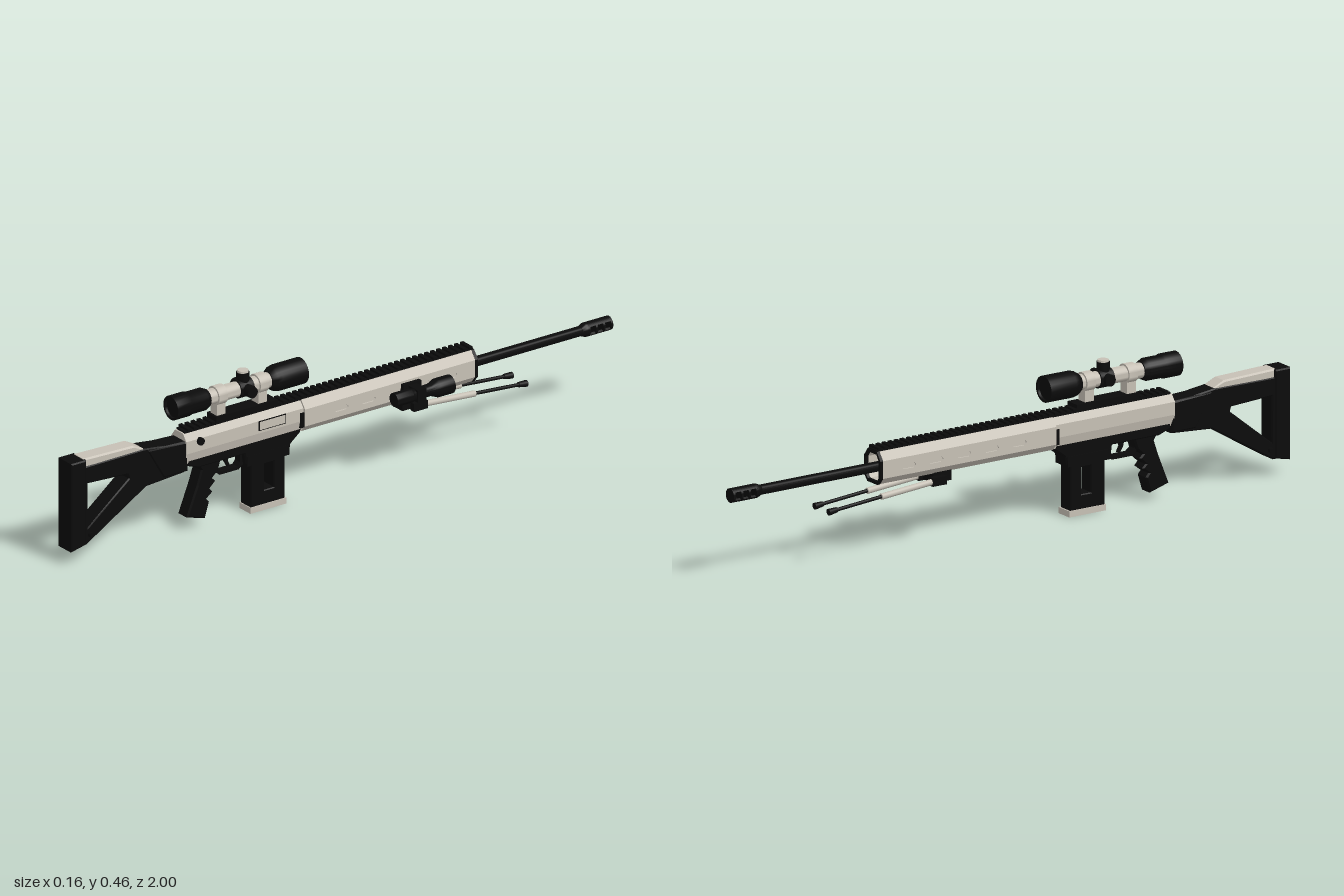
import * as THREE from 'three';
import { toCreasedNormals } from 'three/addons/utils/BufferGeometryUtils.js';

export function createModel() {
  const root = new THREE.Group();
  const CX = -0.032; // centre plane of the body
  const mat = (name, color) => Object.assign(new THREE.MeshStandardMaterial({ color }), { name });
  const black = mat('matte black', 0x0b0b0b);
  const beige = mat('warm grey', 0xc6c0b5);

  const add = (name, geo, material) => {
    const m = new THREE.Mesh(geo, material);
    m.name = name;
    root.add(m);
    return m;
  };
  // outlines run clockwise and holes counter-clockwise
  const outline = (pts, sign, clockwise) => {
    const v = pts.map(([a, b]) => new THREE.Vector2(sign * a, b));
    return THREE.ShapeUtils.isClockWise(v) === clockwise ? v : v.reverse();
  };
  const toShape = (pts, sign, holes) => {
    const s = new THREE.Shape(outline(pts, sign, true));
    s.holes = holes.map(h => new THREE.Path(outline(h, sign, false)));
    return s;
  };
  // side profile in (z, y), extruded across x
  const side = (name, pts, w, material, holes = [], x = CX, bevel = 0) => {
    const g = new THREE.ExtrudeGeometry(toShape(pts, -1, holes), {
      depth: w - 2 * bevel, bevelEnabled: bevel > 0, bevelSize: bevel, bevelOffset: -bevel,
      bevelThickness: bevel, bevelSegments: 1,
    });
    g.translate(0, 0, -w / 2 + bevel).rotateY(Math.PI / 2).translate(x, 0, 0);
    return add(name, g, material);
  };
  // cross-section in (x, y), extruded along z
  const prism = (name, pts, z0, z1, material, holes = []) => {
    const g = new THREE.ExtrudeGeometry(toShape(pts, 1, holes), { depth: z1 - z0, bevelEnabled: false });
    return add(name, g.translate(CX, 0, z0), material);
  };
  // box from extents
  const box = (name, x0, x1, y0, y1, z0, z1, material) =>
    add(name, new THREE.BoxGeometry(x1 - x0, y1 - y0, z1 - z0)
      .translate((x0 + x1) / 2, (y0 + y1) / 2, (z0 + z1) / 2), material);
  // turned part along z from (radius, z) points, z rising
  const turned = (name, pts, x, y, material, seg = 24) => {
    const g = new THREE.LatheGeometry(pts.map(p => new THREE.Vector2(...p)), seg);
    return add(name, toCreasedNormals(g.rotateX(Math.PI / 2), 0.6).translate(x, y, 0), material);
  };
  const rod = (name, a, b, r0, r1, material, seg = 14) => {
    const A = new THREE.Vector3(...a), B = new THREE.Vector3(...b), d = B.clone().sub(A);
    const m = add(name, new THREE.CylinderGeometry(r1, r0, d.length(), seg), material);
    m.position.copy(A).addScaledVector(d, 0.5);
    m.quaternion.setFromUnitVectors(new THREE.Vector3(0, 1, 0), d.normalize());
    return m;
  };

  // Shoulder stock with triangular opening
  side('stockFrame', [[0.96, 0.31], [0.73, 0.312], [0.58, 0.293], [0.58, 0.198], [0.72, 0.188], [0.94, 0.055], [0.96, 0.055]],
    0.06, black, [[[0.936, 0.253], [0.79, 0.245], [0.785, 0.23], [0.936, 0.108]]], CX, 0.004);
  side('stockNeck', [[0.72, 0.305], [0.57, 0.298], [0.57, 0.2], [0.66, 0.2]], 0.068, black, [], CX, 0.006);
  side('buttPad', [[1, 0.333], [0.945, 0.333], [0.945, 0.058], [1, 0.046]], 0.07, black, [], CX, 0.004);
  side('cheekRest', [[0.95, 0.335], [0.765, 0.33], [0.715, 0.305], [0.95, 0.305]], 0.054, beige, [], CX, 0.005);
  rod('stockPin', [CX - 0.041, 0.087, 0.928], [CX + 0.041, 0.087, 0.928], 0.008, 0.008, black);

  // Receiver
  prism('upperReceiver', [[-0.02, 0.32], [0.02, 0.32], [0.037, 0.298], [0.037, 0.258], [0.028, 0.222],
    [-0.028, 0.222], [-0.037, 0.258], [-0.037, 0.298]], 0.15, 0.58, beige);
  side('lowerReceiver', [[0.57, 0.236], [0.15, 0.236], [0.155, 0.218], [0.19, 0.19], [0.195, 0.165],
    [0.355, 0.165], [0.36, 0.2], [0.53, 0.2], [0.57, 0.215]], 0.06, black, [], CX, 0.004);
  box('receiverJoint', CX - 0.039, CX + 0.039, 0.236, 0.285, 0.148, 0.162, black);
  box('ejectionPortFrame', 0.004, 0.0075, 0.267, 0.298, 0.216, 0.314, black);
  box('ejectionPortCover', 0.004, 0.0085, 0.2695, 0.2955, 0.2185, 0.3115, beige);
  rod('rearKnob', [0, 0.29, 0.53], [0.014, 0.29, 0.53], 0.012, 0.012, black);

  // Handguard: hollow faceted shell with slotted side panels and dark front rim
  const shell = (k, inset) => [[-0.024, 0.32 - k], [0.024, 0.32 - k], [0.043 - k, 0.295],
    [0.043 - k - inset, 0.295], [0.043 - k - inset, 0.24], [0.043 - k, 0.24], [0.026, 0.22 + k],
    [-0.026, 0.22 + k], [-0.043 + k, 0.24], [-0.043 + k + inset, 0.24], [-0.043 + k + inset, 0.295],
    [-0.043 + k, 0.295]];
  const bore = [[-0.022, 0.312], [0.022, 0.312], [0.034, 0.293], [0.034, 0.242], [0.024, 0.228],
    [-0.024, 0.228], [-0.034, 0.242], [-0.034, 0.293]];
  prism('handguard', shell(0, 0.005), -0.477, 0.148, beige, [bore]);
  prism('handguardRim', shell(-0.001, 0.0005), -0.487, -0.477, black, [bore]);
  const slots = [];
  for (let i = 0; i < 5; i++) {
    const z = -0.385 + i * 0.1;
    slots.push([[z + 0.026, 0.268], [z + 0.02, 0.274], [z - 0.02, 0.274], [z - 0.026, 0.268],
      [z - 0.026, 0.264], [z - 0.02, 0.258], [z + 0.02, 0.258], [z + 0.026, 0.264]]);
  }
  for (const s of [-1, 1])
    side('handguardPanel', [[0.148, 0.295], [-0.477, 0.295], [-0.477, 0.24], [0.148, 0.24]],
      0.005, beige, slots, CX + s * 0.0405);

  // Top rail with teeth
  box('topRail', CX - 0.021, CX + 0.021, 0.318, 0.325, -0.485, 0.575, black);
  for (let z = -0.475; z < 0.57; z += 0.022)
    box('railTooth', CX - 0.024, CX + 0.024, 0.324, 0.332, z - 0.006, z + 0.006, black);
  box('scopeBase', CX - 0.025, CX + 0.025, 0.325, 0.344, 0.235, 0.46, black);

  // Scope
  const SY = 0.404;
  turned('scopeTube', [[0, 0.2], [0.024, 0.2], [0.024, 0.5], [0, 0.5]], CX, SY, beige);
  turned('scopeObjective', [[0, 0.14], [0.034, 0.14], [0.034, 0.132], [0.041, 0.132], [0.041, 0.225],
    [0.038, 0.24], [0.028, 0.255], [0, 0.255]], CX, SY, black);
  turned('scopeEyepiece', [[0, 0.48], [0.028, 0.48], [0.035, 0.495], [0.035, 0.55], [0.038, 0.555],
    [0.038, 0.61], [0.031, 0.61], [0.031, 0.602], [0, 0.602]], CX, SY, black);
  for (const z of [0.285, 0.437]) {
    turned('scopeRing', [[0, z - 0.016], [0.03, z - 0.016], [0.03, z + 0.016], [0, z + 0.016]], CX, SY, beige);
    box('scopeMountLeg', CX - 0.017, CX + 0.017, 0.343, 0.39, z - 0.016, z + 0.016, beige);
  }
  turned('turretCollar', [[0, 0.322], [0.029, 0.322], [0.029, 0.37], [0, 0.37]], CX, SY, black);
  rod('sideTurret', [CX - 0.041, SY, 0.346], [0.02, SY, 0.346], 0.018, 0.018, black, 20);
  rod('topTurret', [CX, SY, 0.346], [CX, 0.455, 0.346], 0.02, 0.02, black, 20);
  rod('topTurretCap', [CX, 0.455, 0.346], [CX, 0.461, 0.346], 0.018, 0.017, beige, 20);

  // Barrel and slotted muzzle brake
  const BY = 0.267;
  turned('barrel', [[0, -0.905], [0.0155, -0.905], [0.0155, -0.3], [0, -0.3]], CX, BY, black);
  turned('brakeCollar', [[0, -0.918], [0.022, -0.918], [0.022, -0.908], [0.016, -0.893], [0, -0.893]], CX, BY, black);
  for (const z of [-1, -0.972, -0.945])
    turned('brakeBaffle', [[0, z], [0.022, z], [0.022, z + 0.007], [0, z + 0.007]], CX, BY, black);
  for (const mid of [-Math.PI / 2, Math.PI / 2]) {
    // curved strips above and below the side windows
    const arc = new THREE.Shape();
    arc.absarc(0, 0, 0.022, mid - 0.95, mid + 0.95, false);
    arc.absarc(0, 0, 0.015, mid + 0.95, mid - 0.95, true);
    const g = new THREE.ExtrudeGeometry(arc, { depth: 0.086, bevelEnabled: false, curveSegments: 10 });
    add('brakeStrip', g.translate(CX, BY, -0.999), black);
  }

  // Pistol grip with finger ridges
  side('pistolGrip', [[0.53, 0.21], [0.515, 0.185], [0.53, 0.14], [0.568, 0.045], [0.5, 0.025], [0.485, 0.075],
    [0.495, 0.087], [0.472, 0.105], [0.484, 0.117], [0.462, 0.137], [0.474, 0.149], [0.453, 0.168], [0.44, 0.21]],
    0.05, black, [], CX, 0.005);

  // Trigger and guard
  side('triggerGuard', [[0.465, 0.205], [0.462, 0.165], [0.44, 0.148], [0.37, 0.148], [0.35, 0.165], [0.35, 0.205]],
    0.026, black, [[[0.452, 0.199], [0.45, 0.17], [0.435, 0.158], [0.375, 0.158], [0.365, 0.17], [0.365, 0.199]]]);
  side('trigger', [[0.42, 0.205], [0.4, 0.205], [0.405, 0.182], [0.396, 0.164], [0.403, 0.162], [0.414, 0.18]],
    0.012, black);

  // Magazine with window and base plate
  side('magazine', [[0.335, 0.22], [0.21, 0.22], [0.21, 0.018], [0.335, 0.018]], 0.054, black,
    [[[0.285, 0.148], [0.25, 0.148], [0.25, 0.064], [0.285, 0.064]]], CX, 0.003);
  box('magazineBase', CX - 0.028, CX + 0.028, 0, 0.019, 0.205, 0.338, beige);
  box('magazineCollar', CX - 0.032, CX + 0.032, 0.158, 0.19, 0.197, 0.352, black);

  // Side light and its clamp
  turned('sideLight', [[0, -0.348], [0.023, -0.348], [0.024, -0.357], [0.029, -0.357], [0.029, -0.305],
    [0.019, -0.28], [0.019, -0.215], [0.022, -0.21], [0.022, -0.15], [0, -0.15]], 0.05, 0.263, black);
  box('lightClamp', 0.008, 0.024, 0.236, 0.288, -0.27, -0.205, black);
  box('lightClampBand', 0.02, 0.072, 0.243, 0.283, -0.253, -0.222, black);

  // Folded bipod
  box('bipodBlock', CX - 0.028, CX + 0.028, 0.19, 0.224, -0.285, -0.22, black);
  rod('bipodHinge', [CX - 0.045, 0.198, -0.265], [CX + 0.045, 0.198, -0.265], 0.011, 0.011, black);
  for (const s of [-1, 1]) {
    const x = CX + s * 0.037;
    box('bipodKnuckle', x - 0.01, x + 0.01, 0.186, 0.212, -0.3, -0.25, black);
    rod('bipodUpperLeg', [x, 0.2, -0.28], [x, 0.184, -0.48], 0.0095, 0.0095, beige);
    rod('bipodLowerLeg', [x, 0.185, -0.47], [x, 0.17, -0.65], 0.0055, 0.0055, black);
    rod('bipodFoot', [x, 0.171, -0.64], [x, 0.168, -0.67], 0.008, 0.0105, black);
  }
  return root;
}
